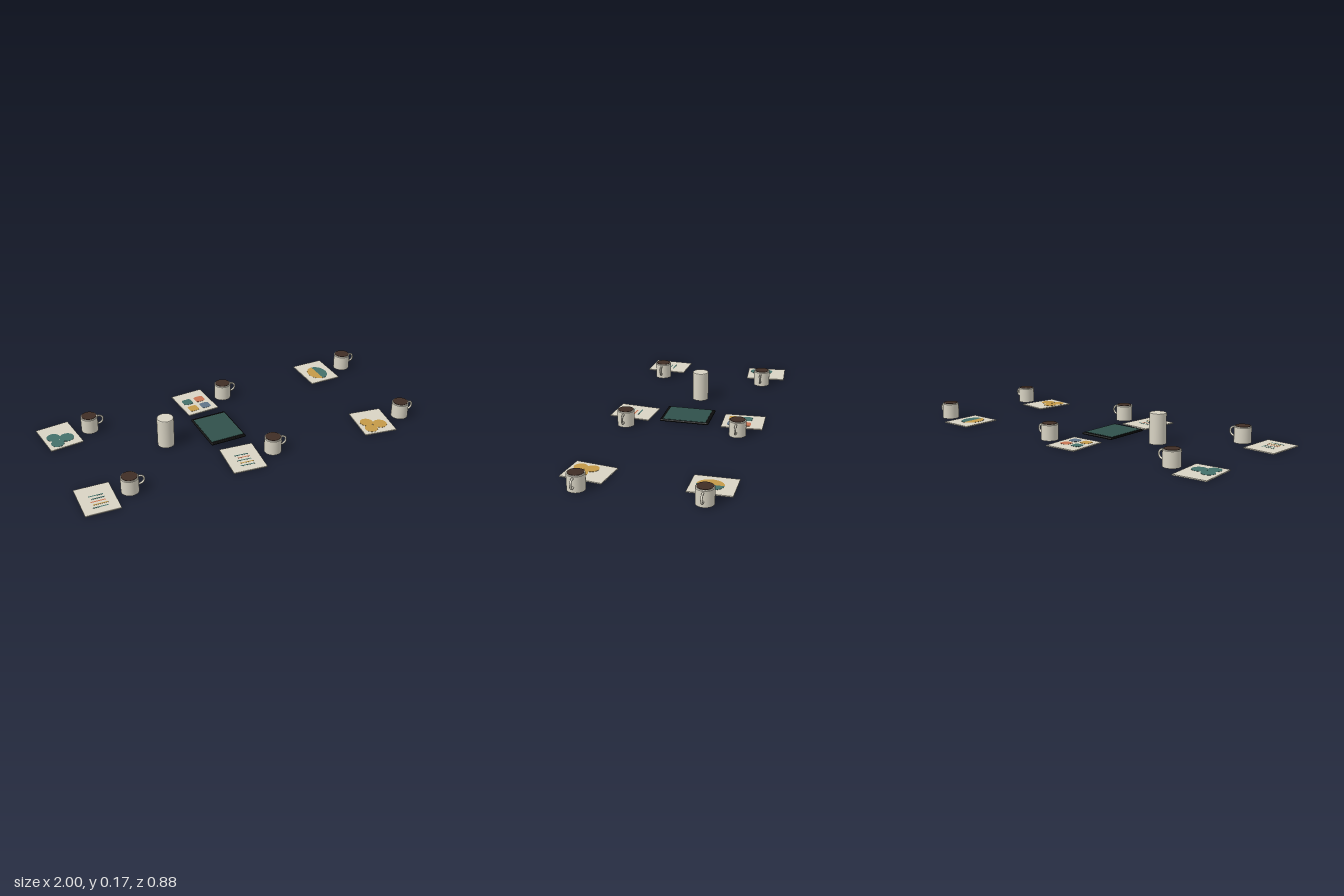
import * as THREE from 'three';
import { RoundedBoxGeometry } from 'three/addons/geometries/RoundedBoxGeometry.js';

const material = (name, color) => {
  const m = new THREE.MeshStandardMaterial({ color });
  m.name = name;
  return m;
};

export function createModel() {
  const cream = material('cream', 0xd8d3c3);
  const teal = material('teal', 0x44706a);
  const ochre = material('ochre', 0xc49a48);
  const rust = material('rust', 0xc97654);
  const slate = material('slate', 0x5f7488);
  const coffee = material('coffee', 0x3f2d25);
  const black = material('black', 0x0a0a0a);
  const glass = material('screenGlass', 0x30504b);

  const model = new THREE.Group();
  model.name = 'designTableSet';

  const add = (parent, name, geometry, mat, x = 0, y = 0, z = 0) => {
    const mesh = new THREE.Mesh(geometry, mat);
    mesh.name = name;
    mesh.position.set(x, y, z);
    parent.add(mesh);
    return mesh;
  };

  const group = (name, x, z, turn = 0) => {
    const g = new THREE.Group();
    g.name = name;
    g.position.set(x, 0, z);
    g.rotation.y = turn;
    model.add(g);
    return g;
  };

  // Printed sheets
  const PAPER = 0.006;
  const INK = 0.001;
  const paper = (name, x, z, turn) => {
    const g = group(name, x, z, turn);
    add(g, 'sheet', new THREE.BoxGeometry(0.187, PAPER, 0.23), cream, 0, PAPER / 2, 0);
    return g;
  };
  // Flat printed shape lying on a sheet
  const print = (g, name, shape, mat, x, z) => {
    const geo = new THREE.ExtrudeGeometry(shape, { depth: INK, bevelEnabled: false, curveSegments: 16 });
    geo.rotateX(-Math.PI / 2);
    return add(g, name, geo, mat, x, PAPER, z);
  };
  const disc = (r) => new THREE.Shape().absarc(0, 0, r, 0, Math.PI * 2);
  const roundedSquare = (s, r) => {
    const h = s / 2;
    return new THREE.Shape()
      .absarc(h - r, h - r, r, 0, Math.PI / 2)
      .absarc(-h + r, h - r, r, Math.PI / 2, Math.PI)
      .absarc(-h + r, -h + r, r, Math.PI, Math.PI * 1.5)
      .absarc(h - r, -h + r, r, Math.PI * 1.5, Math.PI * 2);
  };

  // Sheets with a blob made of three discs
  const blob = (g, mat) => {
    [[-0.037, 0.0, 0.037], [0.029, 0.034, 0.04], [-0.036, 0.064, 0.036]]
      .forEach(([x, z, r]) => print(g, 'blob', disc(r), mat, x, z));
  };
  blob(paper('blobSheetBack', -0.895, -0.319, 0.09), teal);
  blob(paper('blobSheetFront', 0.736, 0.311, -0.15), ochre);

  // Sheet with four swatches
  const swatches = paper('swatchSheet', -0.08, -0.319, 0.05);
  [teal, rust, ochre, slate].forEach((mat, i) => {
    print(swatches, 'swatch', roundedSquare(0.056, 0.014), mat,
      i % 2 ? 0.038 : -0.038, i < 2 ? -0.018 : 0.058);
  });

  // Sheet with a two-tone oval
  const oval = paper('ovalSheet', 0.737, -0.319, 0);
  [[ochre, Math.PI / 2], [teal, -Math.PI / 2]].forEach(([mat, start]) => {
    const half = new THREE.Shape().absellipse(0, 0, 0.057, 0.07, start, start + Math.PI);
    print(oval, 'ovalHalf', half, mat, 0, 0.015);
  });

  // Sheets with rows of thin lines
  const rows = (g, colours) => {
    colours.forEach((mat, i) => {
      const w = i === 1 ? 0.068 : 0.078;
      add(g, 'line', new THREE.BoxGeometry(w, 0.0004, 0.007), mat,
        i % 2 ? 0.006 : 0, PAPER + 0.0002, -0.03 + i * 0.024);
    });
  };
  rows(paper('lineSheetSide', -0.895, 0.311, -0.05), [teal, teal, rust, ochre, teal]);
  rows(paper('lineSheetMiddle', -0.08, 0.311, -0.1), [teal, rust, teal, ochre, teal]);

  // Mugs, one to the side of every sheet
  for (const z of [-0.317, 0.312]) {
    for (const x of [-0.72, 0.098, 0.916]) {
      const mug = group('mug', x, z);
      add(mug, 'body', new THREE.CylinderGeometry(0.047, 0.047, 0.085, 32), cream, 0, 0.0425, 0);
      add(mug, 'lip', new THREE.CylinderGeometry(0.044, 0.047, 0.004, 32), cream, 0, 0.087, 0);
      add(mug, 'coffee', new THREE.CylinderGeometry(0.041, 0.041, 0.002, 32), coffee, 0, 0.09, 0);
      const handle = add(mug, 'handle',
        new THREE.TorusGeometry(0.024, 0.0055, 8, 28), cream, 0.0535, 0.052, 0);
      handle.scale.x = 1.03;
    }
  }

  // Tall canister
  const canister = group('canister', -0.392, -0.002);
  add(canister, 'body', new THREE.CylinderGeometry(0.046, 0.046, 0.163, 32), cream, 0, 0.0815, 0);
  add(canister, 'lid', new THREE.CylinderGeometry(0.044, 0.046, 0.003, 32), cream, 0, 0.1645, 0);

  // Tablet with a raised glass screen
  const tablet = group('tablet', -0.079, 0);
  add(tablet, 'case', new RoundedBoxGeometry(0.207, 0.012, 0.277, 3, 0.005), black, 0, 0.012, 0);
  add(tablet, 'screen', new THREE.BoxGeometry(0.191, 0.002, 0.243), glass, 0, 0.0185, 0);

  return model;
}
